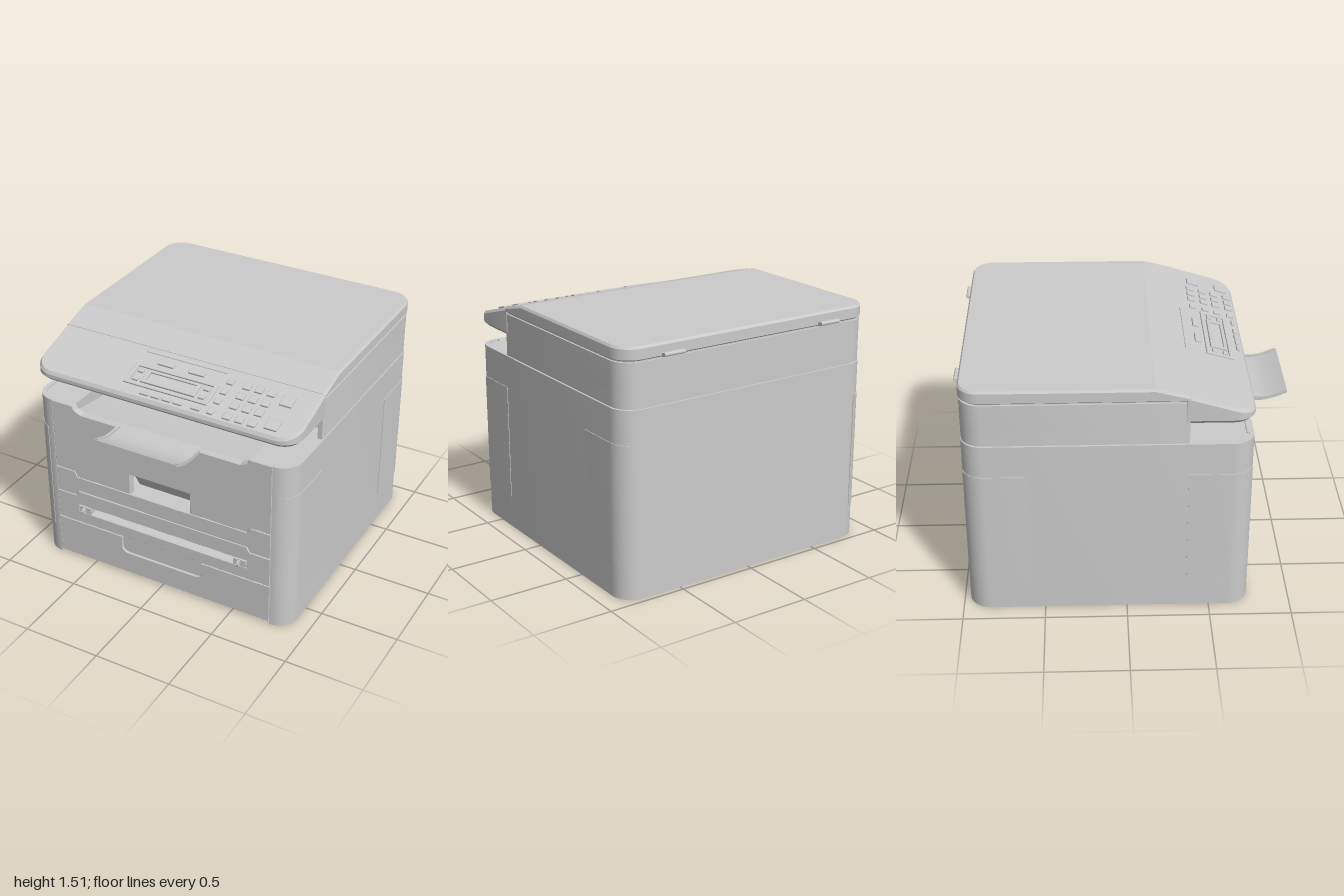
import * as THREE from 'three';
import { toCreasedNormals } from 'three/addons/utils/BufferGeometryUtils.js';
import { RoundedBoxGeometry } from 'three/addons/geometries/RoundedBoxGeometry.js';
import { ConvexGeometry } from 'three/addons/geometries/ConvexGeometry.js';

const W = 0.89, BACK = -0.965, FRONT = 0.745, R = 0.13;
const SLOPE = 0.3;
const panelTop = z => 1.46 - (z - 0.36) * SLOPE;
const lidTop = z => Math.min(1.513, 1.513 - (z - 0.16) * 0.25);

export function createModel() {
  const root = new THREE.Group();
  const material = new THREE.MeshStandardMaterial({ color: 0xcccccc, side: THREE.DoubleSide });

  function add(name, geometry, parent = root) {
    const mesh = new THREE.Mesh(geometry, material);
    mesh.name = name;
    parent.add(mesh);
    return mesh;
  }
  function box(name, x0, x1, y0, y1, z0, z1) {
    const mesh = add(name, new THREE.BoxGeometry(x1 - x0, y1 - y0, z1 - z0));
    mesh.position.set((x0 + x1) / 2, (y0 + y1) / 2, (z0 + z1) / 2);
    return mesh;
  }
  // Plan outline [x, z] from the front left corner round the back to the front right
  function outline(w, z0, z1, rb, rf, n = 10) {
    const pts = [];
    const corners = [[w - rf, z1 - rf, rf, 1], [w - rb, z0 + rb, rb, 0],
      [rb - w, z0 + rb, rb, -1], [rf - w, z1 - rf, rf, -2]];
    for (const [cx, cz, r, q] of corners)
      for (let i = 0; i <= n; i++) {
        const a = (q - i / n) * Math.PI / 2;
        pts.push([cx + r * Math.cos(a), cz + r * Math.sin(a)]);
      }
    return pts;
  }
  const toShape = pts => new THREE.Shape(pts.map(p => new THREE.Vector2(p[0], p[1])));
  // Plan shape raised from y0 to y1
  function prism(name, pts, y0, y1) {
    const g = new THREE.ExtrudeGeometry(toShape(pts), { depth: y1 - y0, bevelEnabled: false });
    g.rotateX(Math.PI / 2).translate(0, y1, 0);
    return add(name, toCreasedNormals(g, 0.5));
  }
  // Hull of rings, each a plan outline with a height rule
  function hull(name, rings) {
    const pts = rings.flatMap(([ring, y]) => ring.map(([x, z]) => new THREE.Vector3(x, y(z), z)));
    return add(name, toCreasedNormals(new ConvexGeometry(pts), 0.2));
  }
  // Side profile [z, y] swept across the width
  function sweep(name, pts, w) {
    const g = new THREE.ExtrudeGeometry(toShape(pts.map(([z, y]) => [-z, y])), { depth: 2 * w, bevelEnabled: false });
    g.rotateY(Math.PI / 2).translate(-w, 0, 0);
    return add(name, toCreasedNormals(g, 0.5));
  }
  // Thin curved sheet along a spline of [z, y]
  function sheet(name, path, w, t) {
    const c = new THREE.SplineCurve(path.map(p => new THREE.Vector2(...p))).getPoints(20).map(p => [p.x, p.y]);
    return sweep(name, [...c, ...c.map(([z, y]) => [z, y - t]).reverse()], w);
  }
  // Front plate with a fine bevel, so that neighbours show a seam
  function plate(name, pts, hole) {
    const s = toShape(pts);
    if (hole) s.holes.push(toShape(hole));
    const b = 0.005;
    const g = new THREE.ExtrudeGeometry(s, { depth: 0.035, bevelThickness: b, bevelSize: b, bevelOffset: -b, bevelSegments: 1 });
    g.translate(0, 0, FRONT - 0.04);
    return add(name, g);
  }
  const mirror = half => [...half, ...half.map(([x, y]) => [-x, y]).reverse()];

  // Body shell, open below and at the front
  const wall = outline(W, BACK, FRONT, R, R);
  const inner = outline(W - 0.03, BACK + 0.03, FRONT - 0.03, R - 0.03, R - 0.03);
  prism('bodyShell', [...wall, ...inner.slice().reverse()], 0, 1.15);

  // Corner covers wrapping round the four vertical edges
  for (const sx of [1, -1]) for (const end of [1, -1]) {
    const cz = end > 0 ? FRONT - R : BACK + R;
    const straight = end > 0 ? 0.36 : -0.57;
    const band = r => {
      const pts = [[sx * (W - R + r), straight]];
      for (let i = 0; i <= 10; i++) {
        const a = i * 0.125;
        pts.push([sx * (W - R + r * Math.cos(a)), cz + end * r * Math.sin(a)]);
      }
      return pts;
    };
    prism('cornerCover', [...band(R + 0.004), ...band(R - 0.01).reverse()], 0.21, 0.945);
  }

  // Front plates, from the top down
  const E = 0.76;
  plate('upperDoor', mirror([[0.21, 0.632], [0.6, 0.632], [0.62, 0.67], [E, 0.67], [E, 1.15], [0.61, 1.15],
    [0.595, 1.12], [0.55, 1.1]]).concat([[-0.21, 0.775], [0.21, 0.775]]));
  plate('middlePlate', mirror([[0.6, 0.525], [0.62, 0.49], [E, 0.49], [E, 0.67], [0.62, 0.67], [0.6, 0.632]]));
  plate('feedPlate', mirror([[E, 0.285], [E, 0.49], [0.62, 0.49], [0.6, 0.525]]),
    [[-0.6, 0.37], [0.6, 0.37], [0.6, 0.42], [-0.6, 0.42]]);
  plate('paperDrawer', mirror([[E, 0.015], [E, 0.285], [0.285, 0.285], [0.285, 0.2], [0.275, 0.18], [0.25, 0.17]]));
  box('drawerGrip', -0.3, 0.3, 0.15, 0.285, 0.69, FRONT - 0.012);

  // Door handle pocket
  sweep('handlePocket', [[0.71, 0.79], [0.7, 0.775], [0.62, 0.63], [0.71, 0.63], [0.71, 0.615], [0.6, 0.615], [0.6, 0.64], [0.68, 0.79]], 0.22);

  // Manual feed slot with its inner sheet and paper guides
  sheet('feedSheet', [[0.73, 0.37], [0.4, 0.39], [0.06, 0.42]], 0.62, 0.012);
  sweep('feedSlotRoof', [[0.71, 0.42], [0.71, 0.44], [0.06, 0.46], [0.06, 0.43]], 0.62);
  for (const s of [1, -1]) {
    box('paperGuide', s * 0.555 - 0.042, s * 0.555 + 0.042, 0.373, 0.417, 0.6, FRONT + 0.005);
    const fin = add('guideFin', new THREE.CylinderGeometry(0.022, 0.022, 0.012, 16).rotateZ(Math.PI / 2));
    fin.position.set(s * 0.555, 0.396, 0.76);
  }

  // Top deck with the scooped output tray
  prism('topDeck', [...outline(W - 0.01, BACK + 0.01, FRONT - 0.01, R - 0.01, R - 0.01),
    [-0.61, FRONT - 0.01], [-0.61, -0.3], [0.61, -0.3], [0.61, FRONT - 0.01]], 0.99, 1.143);
  sheet('outputTray', [[0.735, 1.1], [0.4, 1.05], [0, 1.03], [-0.2, 1.1], [-0.3, 1.24]], 0.612, 0.015);
  box('trayBackWall', -0.87, 0.87, 1.13, 1.24, -0.33, -0.3);
  sheet('trayFlap', [[0.7, 1.102], [0.8, 1.1], [0.87, 1.106], [0.94, 1.127], [1, 1.152]], 0.28, 0.012);
  for (const s of [1, -1]) // raised rims of the flap
    sheet('flapRim', [[0.74, 1.112], [0.87, 1.116], [0.94, 1.137], [0.99, 1.157]], 0.008, 0.02).position.x = s * 0.272;

  // Scanner: skirt, main slab and sloped control panel
  const skirt = outline(W - 0.003, BACK + 0.003, 0.36, R, 0.005);
  const skirtIn = outline(W - 0.03, BACK + 0.03, 0.36, R - 0.03, 0.005);
  prism('scannerSkirt', [...skirt, ...skirtIn.reverse()], 1.156, 1.24);
  prism('skirtSeam', outline(W - 0.012, BACK + 0.012, 0.0, R, 0.005).filter(p => p[1] < -0.31), 1.14, 1.16);
  prism('scannerBody', skirt, 1.23, 1.422);
  const front = (inset, z0) => outline(W - inset, z0, FRONT - inset, 0.005, R - inset);
  hull('controlPanel', [
    [front(0.025, 0.34), () => 1.28],
    [front(0, 0.34), () => 1.305],
    [front(0, 0.34), z => panelTop(z) - 0.018],
    [front(0.012, 0.34), panelTop],
  ]);

  // Lid above a narrow seam, with its front slope
  prism('lidSeam', outline(W - 0.014, BACK + 0.014, 0.35, R, 0.005), 1.41, 1.44);
  const lidRing = i => [...outline(W - i, BACK + i, 0.36, R - i, 0.005), [W - i, 0.16], [i - W, 0.16]];
  hull('lid', [
    [lidRing(0.01), () => 1.43],
    [lidRing(0), () => 1.438],
    [lidRing(0), z => lidTop(z) - 0.014],
    [lidRing(0.01), lidTop],
  ]);
  for (const s of [1, -1]) {
    box('hingePlate', s * 0.56 - 0.07, s * 0.56 + 0.07, 1.432, 1.455, -0.985, -0.94);
    const pin = add('hingePin', new THREE.CylinderGeometry(0.012, 0.012, 0.14, 12).rotateZ(Math.PI / 2));
    pin.position.set(s * 0.56, 1.447, -0.986);
  }

  // Keys and display, placed in plan and tilted onto the panel
  const tilt = Math.atan(SLOPE);
  function key(name, x, z, w, d, h = 0.012) {
    const mesh = add(name, new RoundedBoxGeometry(w, h * 2, d, 1, 0.005));
    mesh.position.set(x, panelTop(z), z);
    mesh.rotation.x = tilt;
  }
  const rect = (w, d) => [[-w, -d], [w, -d], [w, d], [-w, d]];
  function frame(name, z, w, d, hw, hd, h) {
    const s = toShape(rect(w, d));
    s.holes.push(toShape(rect(hw, hd)));
    const g = new THREE.ExtrudeGeometry(s, { depth: h, bevelThickness: 0.003, bevelSize: 0.003, bevelSegments: 1 });
    const mesh = add(name, g.rotateX(-Math.PI / 2));
    mesh.position.set(0, panelTop(z), z);
    mesh.rotation.x = tilt;
  }
  frame('displayBezel', 0.58, 0.28, 0.083, 0.26, 0.064, 0.008);
  frame('displayFrame', 0.58, 0.18, 0.05, 0.16, 0.036, 0.01);
  key('displayScreen', 0, 0.58, 0.31, 0.068, 0.005);
  key('lidFingerPlate', 0, 0.385, 0.56, 0.035, 0.005);
  for (const s of [1, -1]) {
    key('modeKey', s * 0.105, 0.455, 0.11, 0.04);
    for (const z of [0.55, 0.615]) key('arrowKey', s * 0.225, z, 0.04, 0.03);
  }
  for (const x of [-0.11, -0.035, 0.04, 0.115, 0.235]) key('menuKey', x, 0.705, 0.06, 0.022);
  for (const z of [0.455, 0.535, 0.612, 0.695]) {
    key('functionKey', 0.33, z, 0.042, 0.042);
    for (const x of [0.44, 0.52, 0.6]) key('numberKey', x, z, 0.052, 0.05);
  }
  for (const z of [0.48, 0.665]) key('startStopKey', 0.715, z, 0.08, 0.08);

  return root;
}
